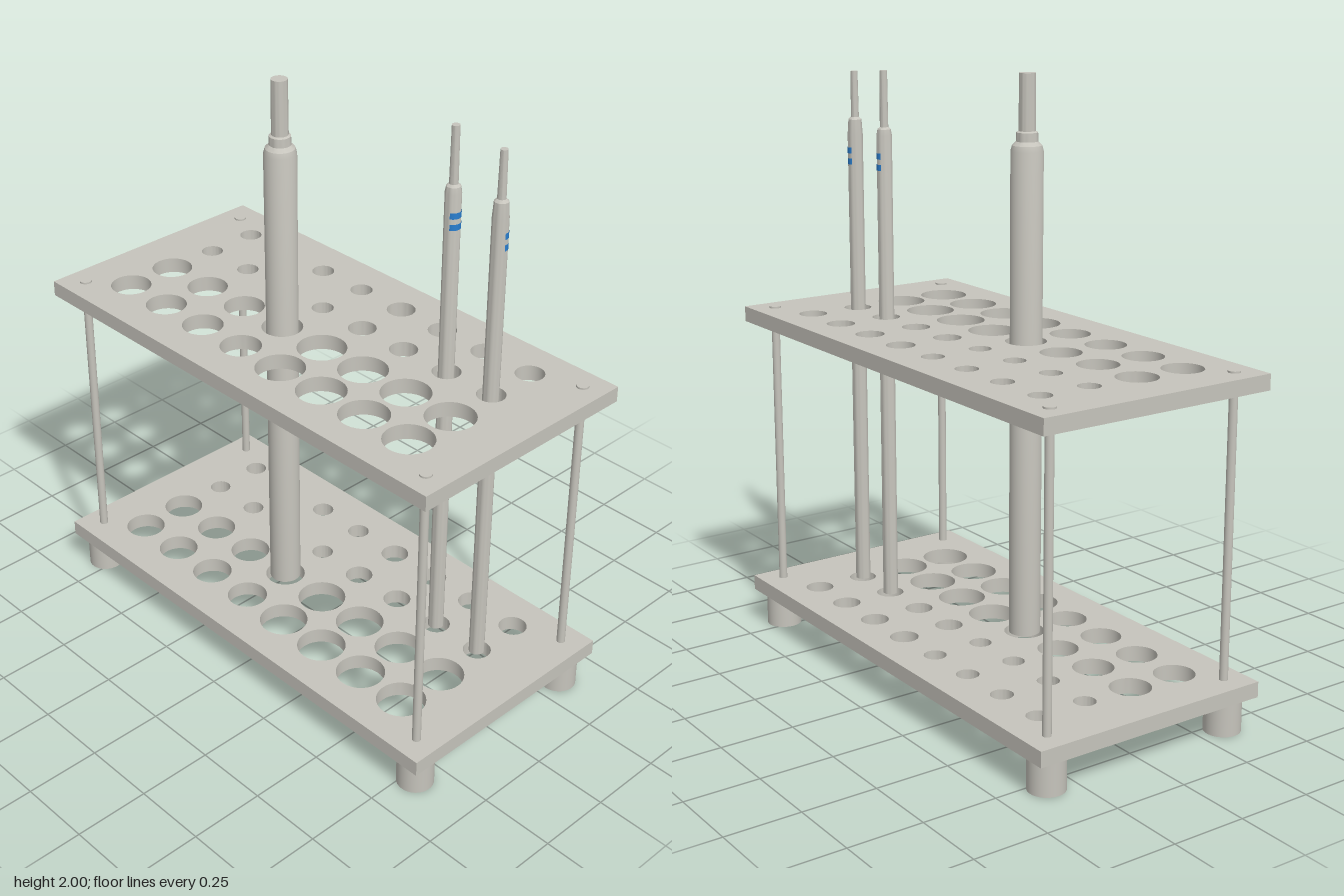
import * as THREE from 'three';
import { toCreasedNormals } from 'three/addons/utils/BufferGeometryUtils.js';

const W = 0.86, D = 0.42, PLATE = 0.052;
const BASE_TOP = 0.168, SHELF_TOP = 1.155;
const POST_X = 0.785, POST_Z = 0.343;

// Rows of holes: z, radius in the left four columns, radius in the right four
const ROWS = [
  [-0.285, 0.037, 0.047],
  [-0.108, 0.036, 0.046],
  [0.07, 0.067, 0.08],
  [0.247, 0.067, 0.08],
];
const columnX = (i) => -0.663 + i * 0.184;

function plateGeometry() {
  const shape = new THREE.Shape();
  shape.moveTo(-W, -D).lineTo(W, -D).lineTo(W, D).lineTo(-W, D).closePath();
  for (const [z, small, large] of ROWS) {
    for (let i = 0; i < 8; i++) {
      const hole = new THREE.Path();
      hole.absarc(columnX(i), z, i < 4 ? small : large, 0, Math.PI * 2, true);
      shape.holes.push(hole);
    }
  }
  const geometry = new THREE.ExtrudeGeometry(shape, { depth: PLATE, bevelEnabled: false, curveSegments: 20 });
  geometry.rotateX(Math.PI / 2); // top face at local y = 0
  return toCreasedNormals(geometry, 0.6);
}

export function createModel() {
  const model = new THREE.Group();
  model.name = 'probeRack';
  const grey = new THREE.MeshStandardMaterial({ name: 'warm grey', color: 0xc6c4bc });
  const blue = new THREE.MeshStandardMaterial({ name: 'blue', color: 0x2a7fd0, side: THREE.DoubleSide });

  const add = (name, geometry, x, y, z, material = grey, parent = model) => {
    const mesh = new THREE.Mesh(geometry, material);
    mesh.name = name;
    mesh.position.set(x, y, z);
    parent.add(mesh);
    return mesh;
  };

  // Two perforated plates
  const plate = plateGeometry();
  add('basePlate', plate, 0, BASE_TOP, 0);
  add('upperPlate', plate, 0, SHELF_TOP, 0);

  // Feet, corner posts and post ends
  const footHeight = BASE_TOP - PLATE;
  const postHeight = SHELF_TOP + 0.005 - BASE_TOP;
  const foot = new THREE.CylinderGeometry(0.06, 0.06, footHeight, 32);
  const post = new THREE.CylinderGeometry(0.014, 0.014, postHeight, 20);
  const cap = new THREE.CylinderGeometry(0.02, 0.02, 0.01, 20);
  for (const sx of [-1, 1]) {
    for (const sz of [-1, 1]) {
      const x = sx * POST_X, z = sz * POST_Z;
      add('foot', foot, x, footHeight / 2, z);
      add('post', post, x, BASE_TOP + postHeight / 2, z);
      add('postCap', cap, x, SHELF_TOP + 0.001, z);
    }
  }

  // Stepped round probes standing in the holes
  const addProbe = (name, x, z, profile) => {
    const points = profile.map(([r, y]) => new THREE.Vector2(r, y));
    const geometry = toCreasedNormals(new THREE.LatheGeometry(points, 28), 0.5);
    return add(name, geometry, x, 0, z);
  };
  addProbe('largeProbe', columnX(3), 0.07, [
    [0, 0.168], [0.052, 0.168], [0.052, 1.76], [0.047, 1.778], [0.035, 1.79],
    [0.034, 1.818], [0.027, 1.822], [0.026, 2], [0, 2],
  ]);
  addProbe('slimProbeA', columnX(6), -0.106, [
    [0, 0.168], [0.0255, 0.168], [0.0255, 1.765], [0.022, 1.785], [0.014, 1.792],
    [0.0125, 1.975], [0, 1.975],
  ]);
  addProbe('slimProbeB', columnX(7), -0.106, [
    [0, 0.168], [0.0255, 0.168], [0.0255, 1.75], [0.022, 1.8], [0.0135, 1.808],
    [0.0115, 1.96], [0, 1.96],
  ]);

  // Blue marker bands wrapped part way round the slim probes (degrees from the front)
  for (const [column, from, to] of [[6, 25, 210], [7, 80, 210]]) {
    const band = new THREE.CylinderGeometry(0.0265, 0.0265, 0.02, 24, 1, true,
      THREE.MathUtils.degToRad(from), THREE.MathUtils.degToRad(to - from));
    for (const y of [1.66, 1.697]) add('markerBand', band, columnX(column), y, -0.106, blue);
  }

  return model;
}
